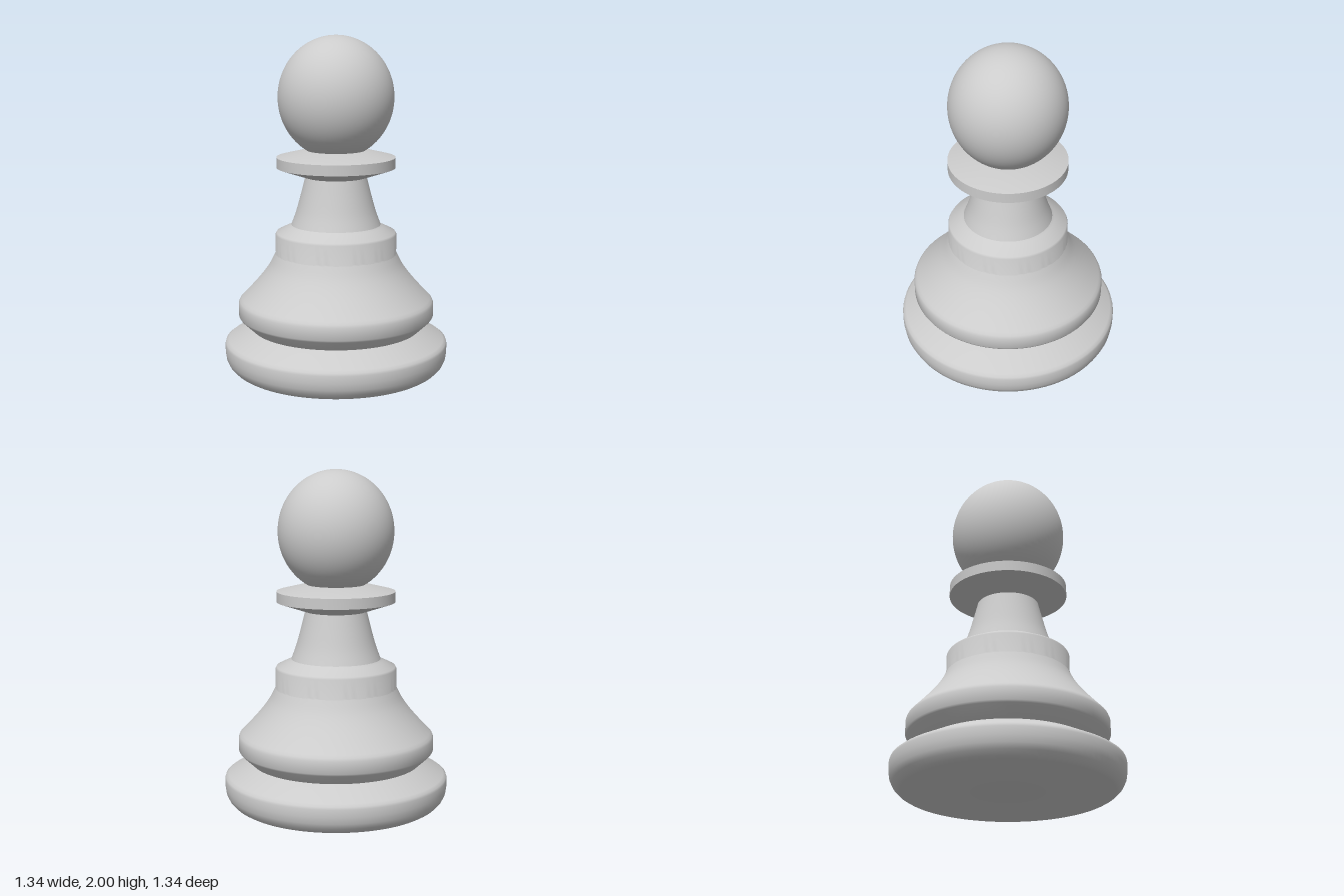
import * as THREE from 'three';
import { toCreasedNormals } from 'three/addons/utils/BufferGeometryUtils.js';

const SEGMENTS = 96;
const material = new THREE.MeshStandardMaterial({ color: 0xcccccc });
const toPoints = (pairs) => pairs.map(([r, y]) => new THREE.Vector2(r, y));

// Smooth run of profile points through a few [radius, height] pairs
function curve(pairs, steps = 14) {
  return new THREE.SplineCurve(toPoints(pairs)).getPoints(steps).map((p) => [p.x, p.y]);
}

// Turned part from a bottom-to-top profile; strong angles stay sharp
function turned(name, profile) {
  const lathe = new THREE.LatheGeometry(toPoints(profile), SEGMENTS);
  const mesh = new THREE.Mesh(toCreasedNormals(lathe, 0.9), material);
  mesh.name = name;
  return mesh;
}

export function createModel() {
  const group = new THREE.Group();
  group.name = 'pawn';

  // Foot disc with rounded rim and sloping top
  group.add(turned('base', [
    [0, 0], [0.605, 0], [0.625, 0.012], [0.65, 0.038], [0.665, 0.07], [0.671, 0.11],
    [0.671, 0.155], [0.667, 0.17], [0.65, 0.183], [0.51, 0.254],
  ]));

  // Flared belly: undercut, rim, then a concave sweep up to the band
  group.add(turned('belly', [
    [0.51, 0.254], [0.58, 0.32], [0.587, 0.332], [0.587, 0.405],
    ...curve([[0.58, 0.422], [0.515, 0.49], [0.45, 0.565], [0.4, 0.635], [0.365, 0.704]]),
  ]));

  // Straight band with a softened shoulder
  group.add(turned('band', [
    [0.365, 0.704], [0.362, 0.71], [0.362, 0.822], [0.355, 0.834], [0.28, 0.87], [0.267, 0.88],
  ]));

  // Tapering neck
  group.add(turned('neck', curve([[0.267, 0.88], [0.238, 0.96], [0.21, 1.06], [0.183, 1.166]])));

  // Thin collar, bevelled above and below
  group.add(turned('collar', [
    [0.183, 1.166], [0.353, 1.223], [0.353, 1.285], [0.19, 1.325], [0, 1.325],
  ]));

  // Slightly tall ball head, sunk into the collar
  const head = new THREE.Mesh(new THREE.SphereGeometry(1, SEGMENTS, 48), material);
  head.name = 'head';
  head.scale.set(0.343, 0.362, 0.343);
  head.position.y = 1.638;
  group.add(head);

  return group;
}
